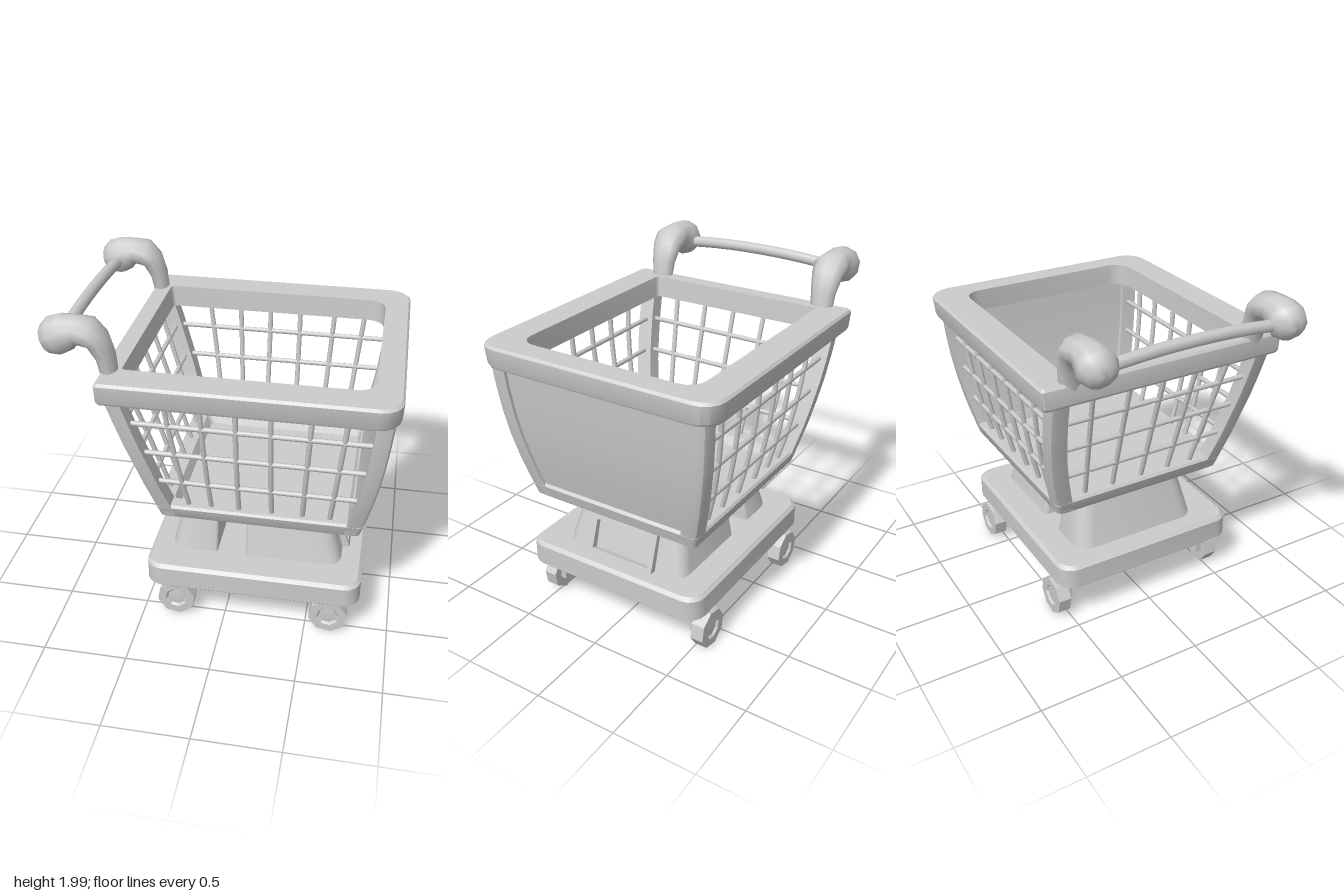
import * as THREE from 'three';
import { toCreasedNormals } from 'three/addons/utils/BufferGeometryUtils.js';

const material = new THREE.MeshStandardMaterial({ color: 0xcccccc });

function add(parent, name, geometry, x = 0, y = 0, z = 0) {
  const mesh = new THREE.Mesh(geometry, material);
  mesh.name = name;
  mesh.position.set(x, y, z);
  parent.add(mesh);
  return mesh;
}

// Skin over rings of [x, y, z] points; capped at both ends, or joined into a loop.
function loft(rings, loop = false, crease = 0.6) {
  const n = rings[0].length;
  const tris = [];
  const last = loop ? rings.length : rings.length - 1;
  for (let i = 0; i < last; i++) {
    const a = rings[i], b = rings[(i + 1) % rings.length];
    for (let j = 0; j < n; j++) {
      const k = (j + 1) % n;
      tris.push([a[j], b[j], b[k]], [a[j], b[k], a[k]]);
    }
  }
  if (!loop) {
    const end = rings[rings.length - 1];
    for (let j = 1; j < n - 1; j++) {
      tris.push([rings[0][0], rings[0][j], rings[0][j + 1]], [end[0], end[j + 1], end[j]]);
    }
  }
  // A negative volume means the faces point inwards
  const [A, B, C] = [0, 1, 2].map(() => new THREE.Vector3());
  let volume = 0;
  for (const t of tris) volume += A.set(...t[0]).dot(B.set(...t[1]).cross(C.set(...t[2])));
  if (volume < 0) tris.forEach((t) => t.reverse());
  const geometry = new THREE.BufferGeometry();
  geometry.setAttribute('position', new THREE.Float32BufferAttribute(tris.flat(2), 3));
  return toCreasedNormals(geometry, crease);
}

// Level rounded rectangle; rb and rf are the corner radii at the back (-x) and front (+x)
function ring(y, x0, x1, z, rb = 0.03, rf = rb, dz = 0) {
  const points = [];
  [[1, 1, rf], [-1, 1, rb], [-1, -1, rb], [1, -1, rf]].forEach(([sx, sz, r], q) => {
    for (let i = 0; i <= 4; i++) {
      const a = (q + i / 4) * Math.PI / 2;
      points.push([
        (sx > 0 ? x1 - r : x0 + r) + r * Math.cos(a), y, sz * (z - r) + r * Math.sin(a) + dz]);
    }
  });
  return points;
}

// Basket outline by height: y, back x, front x, half width
const outline = [
  [0.75, -0.375, 0.79, 0.55], [0.88, -0.413, 0.822, 0.585], [1.0, -0.45, 0.848, 0.615],
  [1.14, -0.49, 0.875, 0.643], [1.28, -0.535, 0.895, 0.665], [1.43, -0.58, 0.912, 0.681],
  [1.6, -0.632, 0.927, 0.692]];

function outlineAt(y) {
  let i = 0;
  while (i < outline.length - 2 && outline[i + 1][0] < y) i++;
  const a = outline[i], b = outline[i + 1], t = (y - a[0]) / (b[0] - a[0]);
  const [, back, front, side] = a.map((v, k) => v + (b[k] - v) * t);
  return { back, front, side };
}

function rod(parent, name, points, radius) {
  const curve = new THREE.CatmullRomCurve3(points.map((p) => new THREE.Vector3(...p)));
  return add(parent, name, new THREE.TubeGeometry(curve, 10, radius, 8));
}

function buildBasket() {
  const basket = new THREE.Group();
  basket.name = 'basket';

  // Tray floor with a raised sill
  add(basket, 'basketFloor', loft([
    ring(0.73, -0.355, 0.77, 0.53), ring(0.745, -0.373, 0.788, 0.548),
    ring(0.815, -0.395, 0.807, 0.568), ring(0.83, -0.385, 0.795, 0.558),
    ring(0.83, -0.3, 0.73, 0.485), ring(0.775, -0.27, 0.71, 0.46)]));

  // Corner posts with a softened outer edge
  const section = [[0, 0.1], [0, 0.03], [0.009, 0.009], [0.03, 0], [0.095, 0], [0.095, 0.1]];
  for (const sx of [-1, 1]) for (const sz of [-1, 1]) {
    add(basket, 'cornerPost', loft(outline.map(([y, back, front, side]) =>
      section.map(([u, w]) => [(sx > 0 ? front : back) - sx * u, y, sz * (side - w)]))));
  }

  // Solid curved front panel, set slightly behind the posts
  add(basket, 'frontPanel', loft(outline.map(([y, , front, side]) => [
    [front - 0.02, y, side - 0.05], [front - 0.02, y, 0.05 - side],
    [front - 0.07, y, 0.05 - side], [front - 0.07, y, side - 0.05]])));

  // Rim around the open top
  add(basket, 'rim', loft([
    ring(1.57, -0.63, 0.945, 0.735, 0.02, 0.12), ring(1.585, -0.64, 0.952, 0.742, 0.02, 0.12),
    ring(1.685, -0.64, 0.957, 0.752, 0.02, 0.12), ring(1.7, -0.63, 0.945, 0.74, 0.02, 0.12),
    ring(1.7, -0.535, 0.81, 0.565, 0.02, 0.1), ring(1.57, -0.525, 0.81, 0.56, 0.02, 0.1)], true));

  // Wire grid on the two sides and the back
  const heights = [0.8, 1.0, 1.2, 1.4, 1.6];
  const sideBars = [[-0.2, -0.305], [-0.07, -0.105], [0.09, 0.09],
    [0.28, 0.28], [0.455, 0.5], [0.61, 0.69]];
  const backBars = [[-0.36, -0.43], [-0.18, -0.2], [0.015, 0.015], [0.2, 0.225], [0.36, 0.44]];
  const inset = 0.05;
  const mix = ([low, high], y) => low + (high - low) * (y - 0.8) / 0.8;
  for (const s of [-1, 1]) {
    for (const bar of sideBars) {
      rod(basket, 'sideUpright',
        heights.map((y) => [mix(bar, y), y, s * (outlineAt(y).side - inset)]), 0.015);
    }
  }
  for (const bar of backBars) {
    rod(basket, 'backUpright',
      heights.map((y) => [outlineAt(y).back + inset, y, mix(bar, y)]), 0.015);
  }
  for (const y of [1.005, 1.215, 1.41]) {
    const { back, front, side } = outlineAt(y);
    const x = back + inset, z = side - inset;
    for (const s of [-1, 1]) {
      rod(basket, 'sideRail', [[x, y, s * z], [front - inset, y, s * z]], 0.015);
    }
    rod(basket, 'backRail', [[x, y, -z], [x, y, z]], 0.015);
  }
  return basket;
}

function buildHandle() {
  const handle = new THREE.Group();
  handle.name = 'handle';
  // Arm path: x, y, radius in the bend plane, radius across
  const path = [
    [-0.595, 1.66, 0.046, 0.065], [-0.613, 1.78, 0.052, 0.078], [-0.65, 1.87, 0.062, 0.095],
    [-0.7, 1.912, 0.078, 0.108], [-0.765, 1.918, 0.08, 0.088], [-0.82, 1.9, 0.104, 0.098],
    [-0.875, 1.877, 0.11, 0.112], [-0.93, 1.852, 0.08, 0.085], [-0.957, 1.842, 0.03, 0.035]];
  const sides = 10;
  for (const s of [-1, 1]) {
    const rings = path.map(([x, y, r, across], i) => {
      const a = path[Math.max(i - 1, 0)], b = path[Math.min(i + 1, path.length - 1)];
      const length = Math.hypot(b[0] - a[0], b[1] - a[1]);
      const nx = (b[1] - a[1]) / length, ny = (a[0] - b[0]) / length;
      return Array.from({ length: sides }, (_, j) => {
        const t = j / sides * Math.PI * 2, c = Math.cos(t) * r;
        return [x + nx * c, y + ny * c, s * 0.57 + Math.sin(t) * across];
      });
    });
    add(handle, 'handleArm', loft(rings, false, 1.1));
  }
  // Gently bowed push bar
  rod(handle, 'pushBar',
    [[-0.858, 1.86, -0.56], [-0.858, 1.883, -0.28], [-0.858, 1.89, 0],
      [-0.858, 1.883, 0.28], [-0.858, 1.86, 0.56]], 0.035);
  return handle;
}

function buildChassis() {
  const chassis = new THREE.Group();
  chassis.name = 'chassis';
  const dz = 0.02;
  add(chassis, 'basePlate', loft([
    ring(0.25, -0.455, 0.805, 0.58, 0.1, 0.1, dz), ring(0.265, -0.47, 0.82, 0.595, 0.1, 0.1, dz),
    ring(0.39, -0.47, 0.82, 0.595, 0.1, 0.1, dz), ring(0.41, -0.45, 0.8, 0.575, 0.09, 0.09, dz)]));

  // Two pedestals, each rounded at its outer end and flat where they face each other
  add(chassis, 'frontPedestal', loft([
    ring(0.4, 0.11, 0.69, 0.415, 0.03, 0.08, 0.01), ring(0.74, 0.11, 0.59, 0.345, 0.03, 0.08, 0.005)]));
  add(chassis, 'rearPedestal', loft([
    ring(0.4, -0.35, -0.06, 0.415, 0.1, 0.02, 0.01), ring(0.74, -0.265, -0.06, 0.345, 0.1, 0.02, 0.005)]));

  // Sloping frame on the front pedestal
  const rect = (shape, w, h) => shape.moveTo(-w, -h).lineTo(w, -h).lineTo(w, h).lineTo(-w, h).closePath();
  const frame = rect(new THREE.Shape(), 0.225, 0.118);
  frame.holes.push(rect(new THREE.Path(), 0.195, 0.09));
  const holder = new THREE.Group();
  holder.name = 'pedestalFrame';
  holder.position.set(0.692, 0.522, 0.01);
  holder.rotation.z = 0.33;
  const geometry = new THREE.ExtrudeGeometry(frame, { depth: 0.08, bevelEnabled: false });
  add(holder, 'frameBorder', geometry.translate(0, 0, -0.08).rotateY(Math.PI / 2));
  chassis.add(holder);

  // Eight-sided wheels with a dished face, on brackets inboard
  const profile = [[0, -0.04], [0.118, -0.04], [0.118, 0.04], [0.068, 0.04], [0.055, 0.026], [0, 0.032]]
    .map(([r, y]) => new THREE.Vector2(r, y));
  const wheel = toCreasedNormals(new THREE.LatheGeometry(profile, 8, 0.2).toNonIndexed(), 0.3);
  for (const x of [-0.295, 0.64]) for (const s of [-1, 1]) {
    const z = s > 0 ? 0.525 : -0.54;
    add(chassis, 'wheel', wheel, x, 0.123, z).rotation.x = s * Math.PI / 2;
    add(chassis, 'wheelBracket', new THREE.BoxGeometry(0.12, 0.17, 0.04), x, 0.185, z - s * 0.057);
  }
  return chassis;
}

export function createModel() {
  const model = new THREE.Group();
  model.name = 'shoppingCart';
  model.add(buildBasket(), buildHandle(), buildChassis());
  return model;
}
